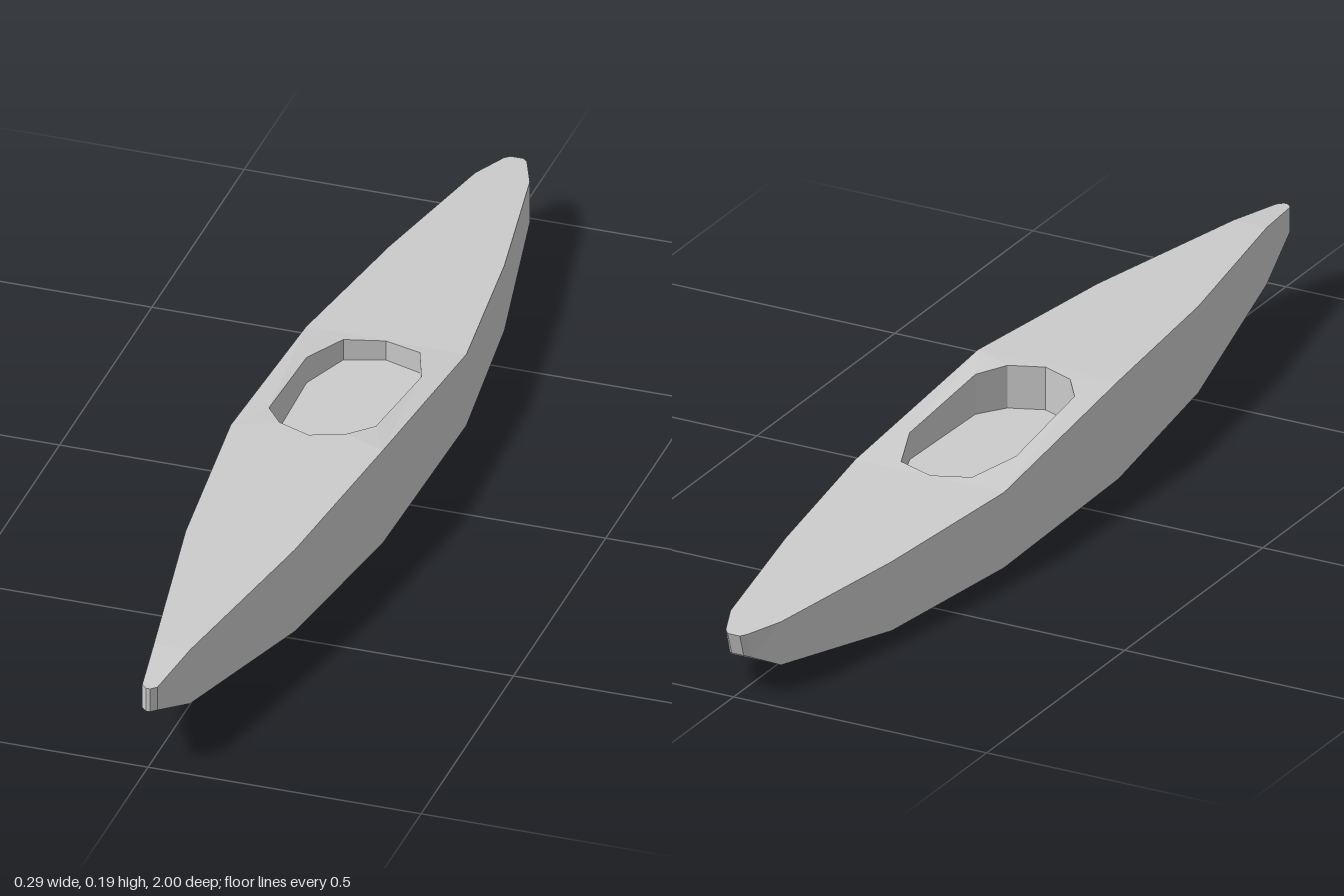
import * as THREE from 'three';

const material = new THREE.MeshStandardMaterial({ color: 0xcccccc, flatShading: true, side: THREE.DoubleSide });

// Hull stations, bow to stern: z of deck edge, z of bottom edge, half width, bottom y, deck y
const stations = [
  [1.0, 1.0, 0.004, 0.112, 0.158],
  [0.99, 0.99, 0.014, 0.112, 0.158],
  [0.87, 0.87, 0.033, 0.062, 0.17],
  [0.5, 0.5, 0.1, 0.015, 0.179],
  [0.14, 0.14, 0.139, 0, 0.186],
  [-0.29, -0.29, 0.147, 0, 0.143],
  [-0.62, -0.62, 0.105, 0, 0.131],
  [-0.92, -0.92, 0.05, 0.04, 0.122],
  [-0.99, -0.975, 0.021, 0.07, 0.119],
  [-1.0, -0.985, 0.012, 0.075, 0.118],
];
const COCKPIT_STATION = 4;

// Right half of the cockpit opening as x, z
const rimHalf = [[0, 0.13], [0.062, 0.105], [0.098, 0.055], [0.105, -0.17], [0.07, -0.265], [0, -0.288]];
const rim = [...rimHalf, ...rimHalf.slice(1, -1).reverse().map(([x, z]) => [-x, z])];
const FLOOR_Y = 0.105;

// Deck height around the cockpit: level ahead, sloping down aft
const deckY = (z) => 0.186 - Math.max(0, 0.105 - z) * (0.043 / 0.395);

function meshFromQuads(name, quads) {
  const pos = [];
  for (const [a, b, c, d] of quads) pos.push(...a, ...b, ...c, ...a, ...c, ...d);
  const geo = new THREE.BufferGeometry();
  geo.setAttribute('position', new THREE.Float32BufferAttribute(pos, 3));
  geo.computeVertexNormals();
  const mesh = new THREE.Mesh(geo, material);
  mesh.name = name;
  return mesh;
}

// Horizontal panel from x, z outline; height follows yAt(z)
function panel(name, outline, hole, yAt) {
  const toPoints = (list) => list.map(([x, z]) => new THREE.Vector2(x, -z));
  const shape = new THREE.Shape(toPoints(outline));
  if (hole) shape.holes.push(new THREE.Path(toPoints(hole)));
  const geo = new THREE.ShapeGeometry(shape).rotateX(-Math.PI / 2).toNonIndexed();
  const p = geo.attributes.position;
  for (let i = 0; i < p.count; i++) p.setY(i, yAt(p.getZ(i)));
  geo.computeVertexNormals();
  const mesh = new THREE.Mesh(geo, material);
  mesh.name = name;
  return mesh;
}

export function createModel() {
  const group = new THREE.Group();
  group.name = 'kayak';

  // Section corners: left top, left bottom, right bottom, right top
  const sections = stations.map(([zt, zb, w, yb, yt]) => [[w, yt, zt], [w, yb, zb], [-w, yb, zb], [-w, yt, zt]]);
  const hull = [];
  const deck = [];
  for (let i = 0; i < sections.length - 1; i++) {
    const a = sections[i], b = sections[i + 1];
    for (let k = 0; k < 3; k++) hull.push([a[k], a[k + 1], b[k + 1], b[k]]);
    if (i !== COCKPIT_STATION) deck.push([a[3], a[0], b[0], b[3]]);
  }
  // End caps, bow and stern
  const bow = sections[0], stern = sections[sections.length - 1];
  hull.push([bow[0], bow[3], bow[2], bow[1]], stern);
  // Loft sides wind inward, so reverse them
  const sides = hull.map((q, i) => (i < hull.length - 2 ? [...q].reverse() : q));
  group.add(meshFromQuads('hull', sides), meshFromQuads('deck', deck));

  // Deck panel around the cockpit opening
  const [f, r] = [stations[COCKPIT_STATION], stations[COCKPIT_STATION + 1]];
  const outline = [[f[2], f[0]], [r[2], r[0]], [-r[2], r[0]], [-f[2], f[0]]];
  group.add(panel('cockpitDeck', outline, rim, deckY));

  // Cockpit well
  const walls = rim.map(([x, z], i) => {
    const [x2, z2] = rim[(i + 1) % rim.length];
    return [[x, deckY(z), z], [x2, deckY(z2), z2], [x2, FLOOR_Y, z2], [x, FLOOR_Y, z]];
  });
  group.add(meshFromQuads('cockpitWalls', walls), panel('cockpitFloor', rim, null, () => FLOOR_Y));
  return group;
}
